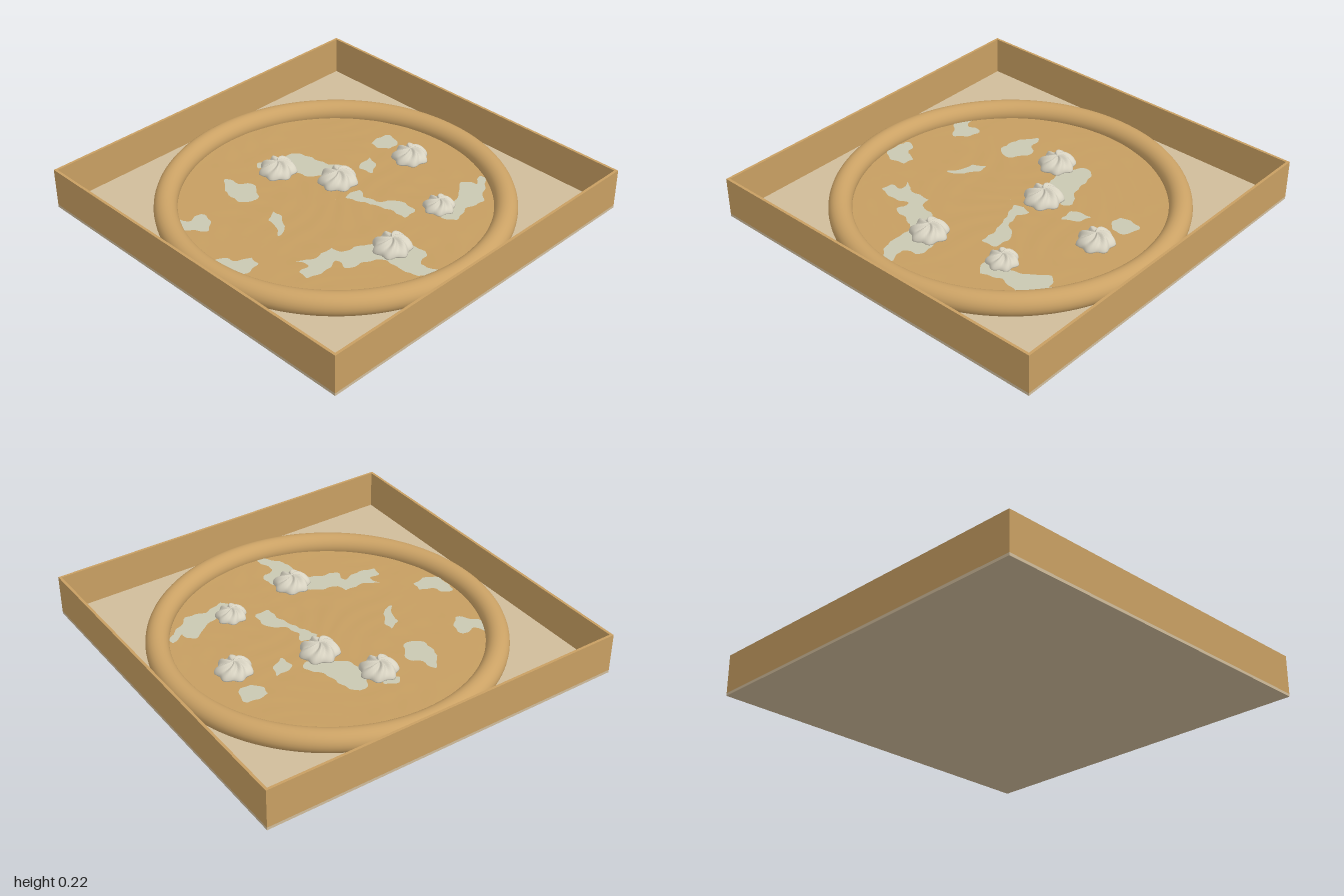
import * as THREE from 'three';
import { mergeVertices } from 'three/addons/utils/BufferGeometryUtils.js';

const FLOOR = 0.015;      // thickness of the box bottom
const RIM = 0.225;        // top of the box walls
const WALL = 0.014;       // wall thickness
const FILLING = 0.046;    // height of the filling surface

const colour = (name, hex) => {
  const m = new THREE.MeshStandardMaterial({ color: hex });
  m.name = name;
  return m;
};

// Rebuild smooth normals across seams after moving vertices
function smooth(geometry) {
  geometry.deleteAttribute('uv');
  geometry.deleteAttribute('normal');
  const g = mergeVertices(geometry, 1e-5);
  g.computeVertexNormals();
  return g;
}

// Gently uneven baked surface
function fillingGeometry() {
  const g = new THREE.RingGeometry(0.001, 0.83, 96, 28).rotateX(-Math.PI / 2);
  const p = g.attributes.position;
  for (let i = 0; i < p.count; i++) {
    const x = p.getX(i), z = p.getZ(i);
    const bump = Math.sin(23 * x + 4 * Math.sin(7 * z)) * Math.sin(29 * z + 3 * Math.sin(9 * x));
    p.setY(i, 0.0013 * bump);
  }
  return smooth(g);
}

// Irregular flat patch; points are x, z pairs in hundredths of a unit
function patchGeometry(flat) {
  const pts = [];
  for (let i = 0; i < flat.length; i += 2) {
    pts.push(new THREE.Vector3(flat[i] / 100, -flat[i + 1] / 100, 0));
  }
  const curve = new THREE.CatmullRomCurve3(pts, true, 'catmullrom', 0.35);
  const outline = curve.getPoints(pts.length * 6).slice(0, -1).map((v) => new THREE.Vector2(
    v.x + 0.005 * Math.sin(90 * v.y), v.y + 0.005 * Math.sin(80 * v.x)));
  return new THREE.ShapeGeometry(new THREE.Shape(outline)).rotateX(-Math.PI / 2);
}

// Swirled dollop: a domed lathe whose lobes twist towards the tip
function dollopGeometry(radius, height) {
  const profile = [new THREE.Vector2(0.82, 0)];
  const rows = 18;
  for (let i = 0; i <= rows; i++) {
    const a = (i / rows) * Math.PI / 2;
    profile.push(new THREE.Vector2(Math.max(Math.cos(a), 0), 0.15 + 0.85 * Math.sin(a)));
  }
  const g = new THREE.LatheGeometry(profile, 56);
  const p = g.attributes.position;
  for (let i = 0; i < p.count; i++) {
    const x = p.getX(i), y = p.getY(i), z = p.getZ(i);
    const r = Math.hypot(x, z), angle = Math.atan2(z, x);
    const lobe = Math.cos(7 * angle + 6 * (1 - r));
    const s = radius * (0.92 + 0.08 * lobe);
    const lift = 1 + 0.16 * lobe * Math.sin(Math.PI * Math.min(r, 1));
    p.setXYZ(i, x * s, y * height * lift, z * s);
  }
  return smooth(g);
}

export function createModel() {
  const model = new THREE.Group();
  model.name = 'pieInBox';

  const card = colour('card brown', 0xc89f62);
  const liner = colour('liner beige', 0xd0bc9b);
  const crust = colour('baked crust', 0xcba265);
  const filling = colour('filling brown', 0xc69e61);
  const glaze = colour('pale glaze', 0xc9c8b2);
  const cream = colour('cream', 0xd8d3c2);

  const add = (parent, name, geometry, material, x = 0, y = 0, z = 0) => {
    const mesh = new THREE.Mesh(geometry, material);
    mesh.name = name;
    mesh.position.set(x, y, z);
    parent.add(mesh);
    return mesh;
  };

  // Open tray
  const box = new THREE.Group();
  box.name = 'box';
  model.add(box);
  add(box, 'boxBottom', new THREE.BoxGeometry(2, FLOOR, 2), liner, 0, FLOOR / 2, 0);
  const h = RIM - FLOOR, mid = FLOOR + h / 2, edge = 1 - WALL / 2;
  for (const s of [-1, 1]) {
    add(box, s > 0 ? 'frontWall' : 'backWall', new THREE.BoxGeometry(2, h, WALL), card, 0, mid, s * edge);
    add(box, s > 0 ? 'leftWall' : 'rightWall', new THREE.BoxGeometry(WALL, h, 2 - 2 * WALL), card, s * edge, mid, 0);
  }

  // Pie
  const pie = new THREE.Group();
  pie.name = 'pie';
  model.add(pie);
  add(pie, 'crust', new THREE.TorusGeometry(0.86, 0.06, 24, 128).rotateX(Math.PI / 2), crust, 0, 0.062, 0);
  add(pie, 'filling', fillingGeometry(), filling, 0, FILLING, 0);

  // Pale patches on the filling
  const patch = (...flat) => add(pie, 'glazePatch', patchGeometry(flat), glaze, 0, FILLING + 0.002, 0);
  patch(-69, -44, -65, -38, -57, -39, -57, -32, -63, -25, -69, -30, -73, -37);
  patch(-27, -54, -25, -45, -20, -40, -24, -33, -29, -28, -36, -33, -35, -45);
  patch(-30, -14, -30, -8, -34, -3, -37, 2, -42, 2, -37, -5, -37, -10);
  patch(-79, -3, -73, -3, -70, 4, -64, 6, -65, 12, -72, 14, -79, 11);
  patch(-50, 23, -44, 28, -31, 28, -30, 34, -18, 37, -2, 54, -2, 64, -10, 67, -7, 79,
    -12, 79, -19, 68, -20, 52, -29, 47, -37, 45, -36, 37, -45, 39, -55, 37, -55, 31, -48, 30);
  patch(5, 2, 15, 2, 12, 8, 15, 18, 22, 23, 21, 35, 13, 35, 13, 27, 9, 14);
  patch(7, -45, 14, -48, 18, -40, 20, -28, 26, -18, 22, -14, 6, -24, 3, -34);
  patch(-9, -50, -4, -53, 1, -49, -2, -45);
  patch(30, -13, 40, -15, 38, -9, 31, -4);
  patch(52, -25, 63, -25, 64, -19, 60, -14, 55, -14, 51, -19);
  patch(26, 47, 41, 44, 49, 40, 56, 35, 61, 37, 61, 41, 69, 37, 67, 43, 59, 48, 51, 54, 41, 52, 30, 55);

  // Cream dollops: x, z, radius
  const spots = [[-0.03, -0.4, 0.103], [0.125, -0.11, 0.108], [0.555, 0, 0.1], [0.32, 0.415, 0.085], [-0.1, 0.485, 0.103]];
  spots.forEach(([x, z, r], i) => {
    const dollop = add(pie, 'creamDollop', dollopGeometry(r, 0.7 * r), cream, x, FILLING - 0.006, z);
    dollop.rotation.y = i * 0.7;
  });

  return model;
}
